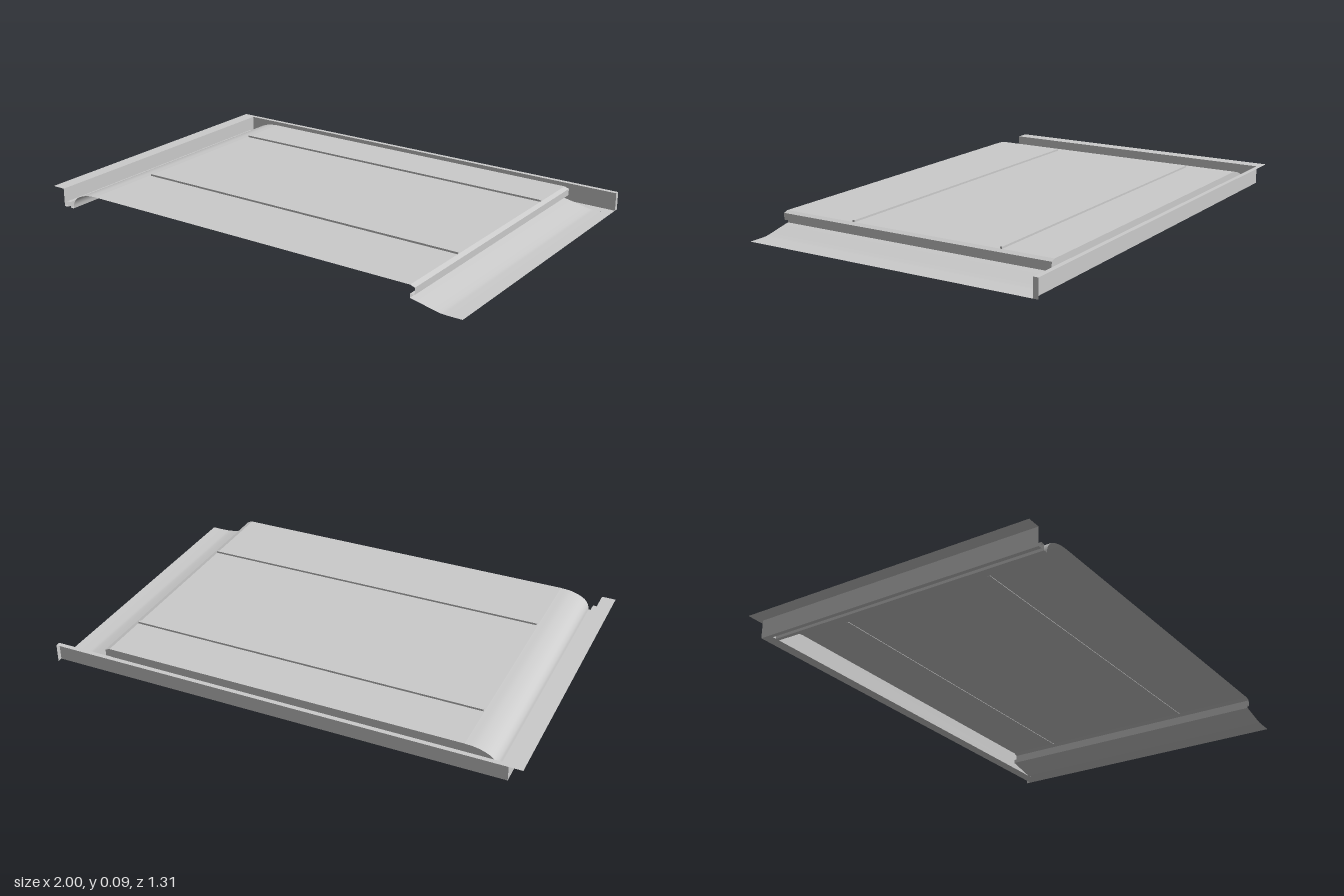
import * as THREE from 'three';

const material = new THREE.MeshStandardMaterial({ color: 0xcccccc, side: THREE.DoubleSide });
const TOP = 0.078, FRONT = 0.655, BACK = -0.655, WALL = -0.635, SHEET = -0.59, SIDE = -0.94;

// Sweeps an x/y profile along z into an open sheet, smooth or with sharp bends
function sweep(points, z0, z1, smooth = false) {
  const pos = [], index = [];
  points.forEach(([x, y], i) => {
    pos.push(x, y, z0, x, y, z1);
    if (i) {
      const a = 2 * i - 2;
      index.push(a, a + 1, a + 2, a + 1, a + 3, a + 2);
    }
  });
  let geo = new THREE.BufferGeometry();
  geo.setAttribute('position', new THREE.Float32BufferAttribute(pos, 3));
  geo.setIndex(index);
  if (!smooth) geo = geo.toNonIndexed();
  geo.computeVertexNormals();
  return geo;
}

function curve(points, n) {
  const c = new THREE.CatmullRomCurve3(points.map(([x, y]) => new THREE.Vector3(x, y, 0)));
  return c.getPoints(n).map(p => [p.x, p.y]);
}

export function createModel() {
  const model = new THREE.Group();
  const add = (name, geo) => {
    const mesh = new THREE.Mesh(geo, material);
    mesh.name = name;
    model.add(mesh);
    return mesh;
  };

  // Panel profile from the side wall across to the ramp
  const rib = [[SIDE, 0], [-0.922, 0], [-0.922, 0.025], [-0.905, 0.025], [-0.905, 0], [-0.888, 0]];
  const bend = curve([[-0.888, 0], [-0.883, 0.022], [-0.87, 0.043], [-0.845, 0.06],
    [-0.8, 0.074], [-0.755, TOP]], 24);
  const deck = [[-0.755, TOP], [0.785, TOP]];
  const step = [[0.785, TOP], [0.805, 0.071], [0.805, 0.043], [0.785, 0.043], [0.785, 0.027]];
  const ramp = curve([[0.785, 0.027], [0.815, 0.021], [0.86, 0.011], [0.91, 0.001], [0.93, 0], [1, 0]], 20);

  add('grooveRib', sweep(rib, SHEET, FRONT));
  add('curvedEdge', sweep(bend, SHEET, FRONT, true));
  add('deckSheet', sweep(deck, SHEET, FRONT));
  add('stepEdge', sweep(step, SHEET, FRONT));
  add('ramp', sweep(ramp, SHEET, FRONT, true));

  // Rear face closing the raised panel
  const outline = [...rib.slice(1), ...bend.slice(1), ...deck.slice(1), ...step.slice(1), ...ramp.slice(1)];
  const skirt = new THREE.ShapeGeometry(new THREE.Shape(outline.map(([x, y]) => new THREE.Vector2(x, y))));
  add('rearSkirt', skirt.translate(0, 0, SHEET));

  // Gutter floor, walls and their rims
  add('gutterFloor', sweep([[SIDE, 0], [1, 0]], WALL, SHEET));
  add('sideWall', sweep([[SIDE, TOP], [SIDE, 0]], WALL, FRONT));
  add('sideRim', sweep([[-1, TOP], [SIDE, TOP]], BACK, FRONT));
  add('rearRim', sweep([[SIDE, TOP], [1, TOP]], BACK, WALL));
  add('wallEndPlate', sweep([[1, TOP], [1, 0]], BACK, WALL));
  const wall = new THREE.PlaneGeometry(1 - SIDE, TOP);
  add('rearWall', wall.translate((1 + SIDE) / 2, TOP / 2, WALL));

  // Two thin rails along the deck
  for (const z of [0.315, -0.365]) {
    add('deckRail', new THREE.BoxGeometry(1.535, 0.01, 0.01)).position.set(0.0175, 0.081, z);
  }
  return model;
}
